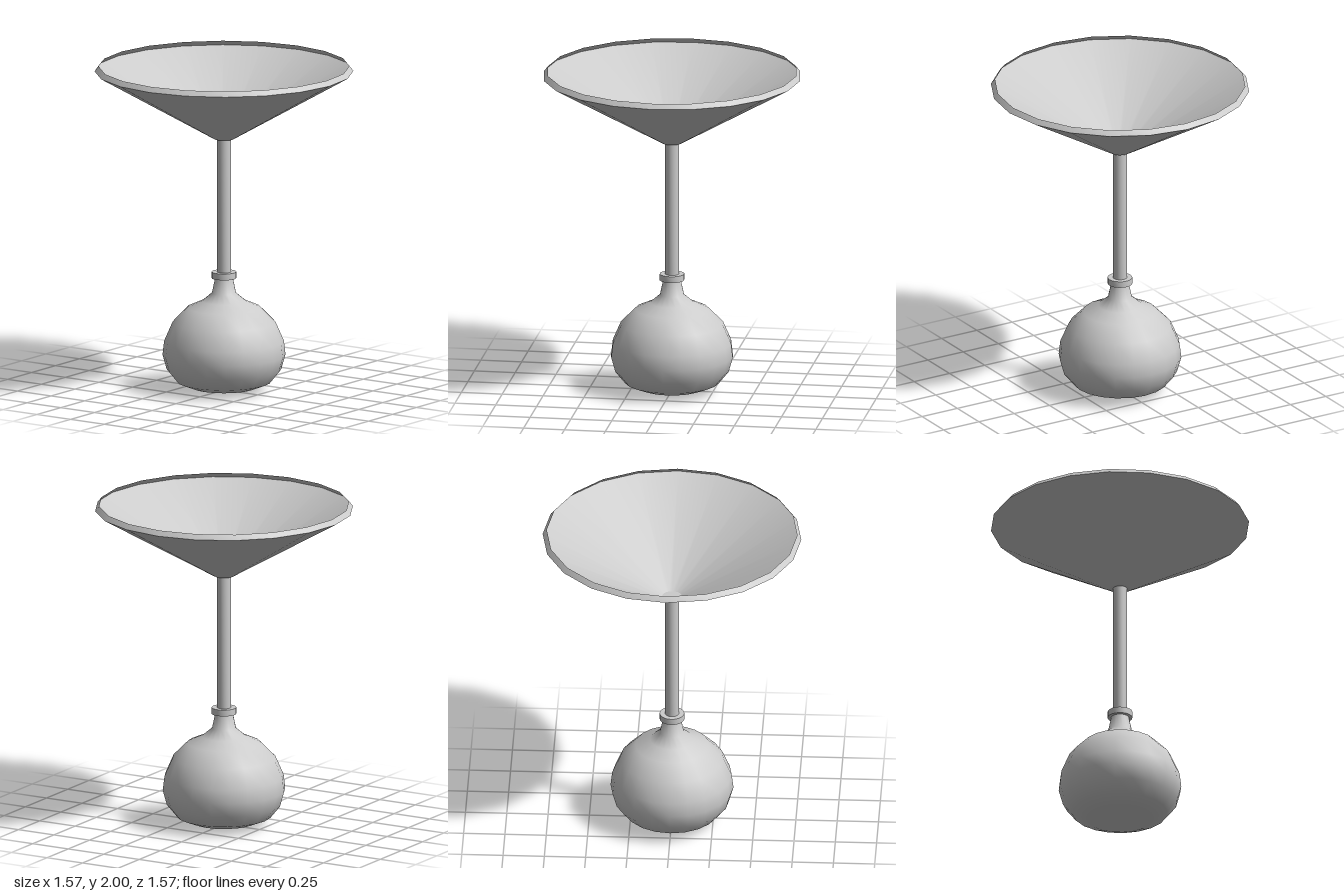
import * as THREE from 'three';
import { toCreasedNormals } from 'three/addons/utils/BufferGeometryUtils.js';

const SIDES = 20;

export function createModel() {
  const group = new THREE.Group();
  const material = new THREE.MeshStandardMaterial({ color: 0xcccccc, side: THREE.DoubleSide });

  // Turned thin shell from a [radius, height] profile running bottom to top
  function turned(name, profile, crease) {
    const points = profile.map(([r, y]) => new THREE.Vector2(r, y));
    const geometry = toCreasedNormals(new THREE.LatheGeometry(points, SIDES), crease);
    const mesh = new THREE.Mesh(geometry, material);
    mesh.name = name;
    group.add(mesh);
  }

  // Rounded weight at the foot, narrowing into a short neck
  turned('bulb', [
    [0, 0], [0.2, 0.021], [0.287, 0.056], [0.347, 0.13], [0.372, 0.22],
    [0.362, 0.305], [0.312, 0.42], [0.222, 0.511], [0.132, 0.551],
    [0.073, 0.601], [0.054, 0.692],
  ], 1.2);

  // Ring where the neck meets the stem
  turned('collar', [[0.054, 0.692], [0.075, 0.692], [0.075, 0.731], [0.043, 0.731]], 0.6);

  // Straight stem
  turned('stem', [[0.043, 0.731], [0.043, 1.552]], 0.6);

  // Wide open bowl: small flat floor, conical wall, lip turned inward
  turned('bowl', [[0, 1.552], [0.06, 1.552], [0.783, 1.97], [0.758, 2]], 0.45);

  return group;
}
